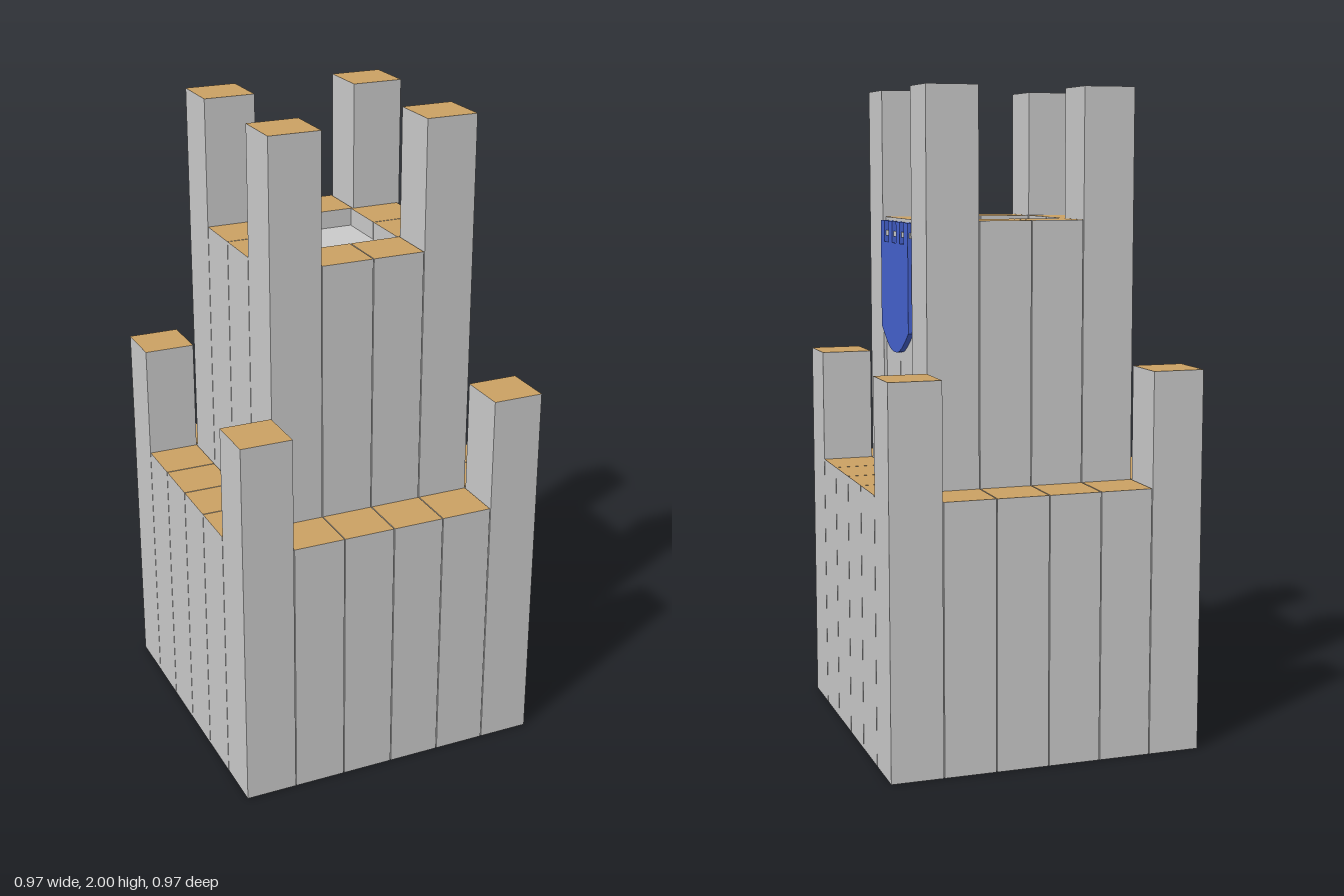
import * as THREE from 'three';

const stone = new THREE.MeshStandardMaterial({ color: 0xcacaca });
stone.name = 'stone grey';
const wood = new THREE.MeshStandardMaterial({ color: 0xcba163 });
wood.name = 'timber tan';
const cloth = new THREE.MeshStandardMaterial({ color: 0x4562cf });
cloth.name = 'banner blue';

const PITCH = 0.162;
const WIDTH = 0.159;

// Square post: grey sides and underside, tan top
function post(name, x, z, bottom, top) {
  const geometry = new THREE.BoxGeometry(WIDTH, top - bottom, WIDTH);
  const mesh = new THREE.Mesh(geometry, [stone, stone, wood, stone, stone, stone]);
  mesh.position.set(x, (top + bottom) / 2, z);
  mesh.name = name;
  return mesh;
}

// Square ring of n x n posts with taller corners
function ring(name, n, bottom, wallTop, cornerTop, shift = () => 0) {
  const group = new THREE.Group();
  group.name = name;
  const last = n - 1;
  for (let i = 0; i < n; i++) {
    for (let j = 0; j < n; j++) {
      const endX = i === 0 || i === last;
      const endZ = j === 0 || j === last;
      if (!endX && !endZ) continue;
      const corner = endX && endZ;
      const x = (i - last / 2) * PITCH + shift(i, j);
      const z = (j - last / 2) * PITCH;
      group.add(post(corner ? 'cornerPost' : 'wallPost', x, z, bottom, corner ? cornerTop : wallTop));
    }
  }
  return group;
}

// Banner outline: rounded foot and four hanging tabs
function bannerGeometry() {
  const left = -0.16, right = 0.15, tab = 0.044, notch = 1.535, top = 1.6;
  const shape = new THREE.Shape();
  shape.moveTo(left, 1.27);
  shape.bezierCurveTo(-0.07, 1.2, -0.04, 1.2, -0.005, 1.2);
  shape.bezierCurveTo(0.03, 1.2, 0.06, 1.2, right, 1.27);
  const step = (right - left - tab) / 3;
  for (let k = 3; k >= 0; k--) {
    const u = left + k * step;
    if (k < 3) shape.lineTo(u + tab, notch);
    shape.lineTo(u + tab, top);
    shape.lineTo(u, top);
    if (k > 0) shape.lineTo(u, notch);
  }
  shape.closePath();
  const geometry = new THREE.ExtrudeGeometry(shape, { depth: 0.016, bevelEnabled: false, curveSegments: 8 });
  geometry.rotateY(Math.PI / 2);
  return geometry;
}

export function createModel() {
  const model = new THREE.Group();
  model.name = 'castleTower';

  // Lower wall and raised keep; the keep's right wall sits back behind the banner
  model.add(ring('outerWall', 6, 0, 0.82, 1.17));
  model.add(ring('keep', 4, 0.8, 1.61, 2,
    (i, j) => (i === 3 && (j === 1 || j === 2) ? -0.009 : 0)));

  // Sunken roof deck inside the keep
  const deck = new THREE.Mesh(new THREE.BoxGeometry(0.33, 0.03, 0.33), stone);
  deck.position.set(0, 1.54, 0);
  deck.name = 'roofDeck';
  model.add(deck);

  // Banner and its hanging rod on the right wall
  const banner = new THREE.Mesh(bannerGeometry(), cloth);
  banner.position.x = 0.314;
  banner.name = 'banner';
  model.add(banner);
  const rod = new THREE.Mesh(new THREE.BoxGeometry(0.01, 0.016, 0.32), stone);
  rod.position.set(0.32, 1.562, 0);
  rod.name = 'bannerRod';
  model.add(rod);

  return model;
}
